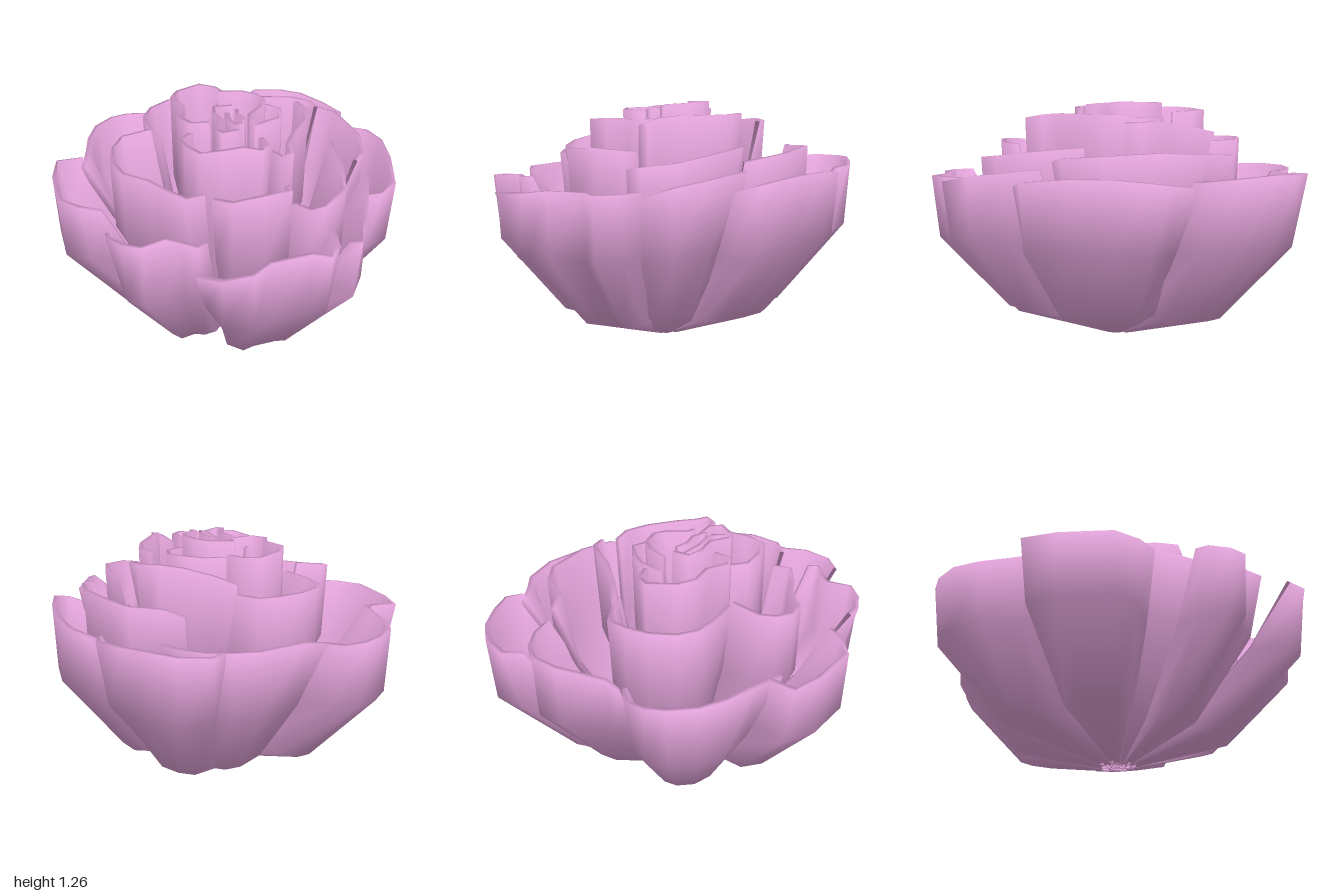
import * as THREE from 'three';

const material = new THREE.MeshStandardMaterial({ color: 0xe0a2d8 });

// Petal profile from base to rim: [height, reach at middle, reach at cupped side edges, thickness]
const PROFILE = [
  [0, 0.1, 0.07, 0.006],
  [0.17, 0.615, 0.36, 0.016],
  [0.62, 0.98, 0.77, 0.024],
  [1, 1, 1, 0.024],
];

// A thin petal hanging from its rim, given as x,z pairs; heights are those at the
// first, middle and last rim point, cup draws the side edges in below the rim
function petalGeometry(rimPairs, [h0, h1, h2], cup) {
  const n = rimPairs.length / 2;
  const rim = [];
  for (let j = 0; j < n; j++) {
    const u = (2 * j) / (n - 1) - 1;
    const h = THREE.MathUtils.lerp(h1, u < 0 ? h0 : h2, Math.abs(u));
    rim.push({ x: rimPairs[2 * j], z: rimPairs[2 * j + 1], h, edge: cup * Math.abs(u) ** 3 });
  }
  // Run every rim the same way round its own middle direction
  const ax = rim.reduce((s, p) => s + p.x, 0), az = rim.reduce((s, p) => s + p.z, 0);
  const across = (p) => p.z * ax - p.x * az;
  if (across(rim[0]) > across(rim[n - 1])) rim.reverse();

  // Outer face
  const outer = [], faces = [];
  PROFILE.forEach(([y, middle, side], i) => rim.forEach((p, j) => {
    const s = THREE.MathUtils.lerp(middle, side, p.edge);
    outer.push(p.x * s, p.h * y, p.z * s);
    if (i && j) {
      const k = i * n + j;
      faces.push(k - n - 1, k - 1, k - n, k - n, k - 1, k);
    }
  }));
  const sheet = new THREE.BufferGeometry();
  sheet.setAttribute('position', new THREE.Float32BufferAttribute(outer, 3));
  sheet.setIndex(faces);
  sheet.computeVertexNormals();
  const pos = sheet.attributes.position, nor = sheet.attributes.normal;

  // Closed loops: outer face one way, offset inner face back
  const verts = [], index = [], m = 2 * n, rows = PROFILE.length;
  const v = new THREE.Vector3(), d = new THREE.Vector3();
  for (let i = 0; i < rows; i++) {
    for (let c = 0; c < m; c++) {
      const k = i * n + (c < n ? c : m - 1 - c);
      v.fromBufferAttribute(pos, k);
      if (c >= n) v.addScaledVector(d.fromBufferAttribute(nor, k), -PROFILE[i][3]);
      verts.push(v.x, Math.max(0, v.y), v.z);
      if (i < rows - 1) {
        const p = i * m + c, q = i * m + (c + 1) % m;
        index.push(p, p + m, q, q, p + m, q + m);
      }
    }
  }
  // Rim and base strips
  const r = (rows - 1) * m;
  for (let j = 0; j < n - 1; j++) {
    const o = j, o1 = j + 1, b = m - 1 - j, b1 = m - 2 - j;
    index.push(r + o, r + b, r + o1, r + o1, r + b, r + b1);
    index.push(o, o1, b, o1, b1, b);
  }
  const g = new THREE.BufferGeometry();
  g.setAttribute('position', new THREE.Float32BufferAttribute(verts, 3));
  g.setIndex(index);
  g.computeVertexNormals();
  // Round the shading over the rim
  const normal = g.attributes.normal;
  for (let k = r; k < r + m; k++) {
    d.fromBufferAttribute(normal, k);
    d.setY(d.y + 0.8).normalize();
    normal.setXYZ(k, d.x, d.y, d.z);
  }
  return g;
}

// Rims by layer: [name, heights, x,z pairs]
const OUTER = [
  ['backLeft', [0.85, 0.88, 0.86], [-0.69, -0.45, -0.61, -0.61, -0.54, -0.77, -0.45, -0.9, -0.32, -0.98, -0.21, -1, -0.1, -0.97, -0.04, -0.87]],
  ['back', [0.87, 0.9, 0.86], [-0.04, -0.91, 0.05, -0.87, 0.32, -0.88, 0.46, -0.85, 0.55, -0.74, 0.61, -0.58, 0.62, -0.45]],
  ['backRight', [0.91, 0.93, 0.9], [0.5, -0.85, 0.6, -0.9, 0.74, -0.82, 0.82, -0.7, 0.88, -0.53, 0.91, -0.37, 0.86, -0.29]],
  ['right', [0.87, 0.93, 0.84], [0.84, -0.33, 0.88, -0.2, 0.92, -0.1, 0.9, 0.08, 0.82, 0.29, 0.7, 0.52, 0.6, 0.55, 0.53, 0.49]],
  ['frontRight', [0.94, 0.89, 0.82], [0.6, 0.42, 0.48, 0.6, 0.36, 0.78, 0.25, 0.92, 0.22, 0.84]],
  ['front', [0.83, 0.87, 0.86], [-0.58, 0.82, -0.5, 0.92, -0.35, 0.955, -0.24, 0.91, -0.03, 0.93, 0.04, 0.99, 0.13, 0.91, 0.19, 0.77]],
  ['frontLeft', [0.85, 0.89, 0.9], [-0.82, 0.28, -0.84, 0.34, -0.81, 0.46, -0.74, 0.55, -0.61, 0.54, -0.56, 0.61, -0.51, 0.69, -0.45, 0.67]],
  ['left', [0.87, 0.86, 0.86], [-0.65, -0.54, -0.79, -0.57, -0.87, -0.4, -0.925, -0.13, -0.86, 0, -0.77, 0.09]],
];
const MIDDLE = [
  ['back', [1.04, 1.06, 1.05], [-0.33, -0.21, -0.32, -0.4, -0.29, -0.53, -0.21, -0.62, -0.08, -0.67, 0.05, -0.66, 0.16, -0.62, 0.2, -0.51, 0.24, -0.37]],
  ['left', [1.09, 1.0, 1.0], [-0.35, -0.27, -0.5, -0.3, -0.58, -0.24, -0.635, -0.13, -0.625, 0, -0.54, 0.13, -0.5, 0.26, -0.44, 0.4, -0.34, 0.4]],
  ['right', [1.0, 1.03, 0.98], [0.53, -0.54, 0.56, -0.4, 0.69, -0.29, 0.735, -0.16, 0.715, 0.13, 0.63, 0.32, 0.56, 0.36]],
  ['backRight', [1.1, 1.17, 1.16], [0.2, -0.5, 0.26, -0.38, 0.36, -0.25, 0.45, -0.17, 0.52, -0.08, 0.52, 0]],
  ['frontRight', [0.95, 0.98, 1.04], [0.05, 0.58, 0.08, 0.7, 0.16, 0.72, 0.32, 0.64, 0.42, 0.45, 0.5, 0.2]],
  ['front', [1.03, 1.05, 1.03], [-0.355, 0.51, -0.29, 0.6, -0.13, 0.625, 0.03, 0.615, 0.06, 0.53]],
];
const INNER = [
  ['back', [1.2, 1.22, 1.2], [-0.14, 0.03, -0.24, 0, -0.27, -0.1, -0.2, -0.2, -0.2, -0.34, -0.13, -0.42, 0.03, -0.47, 0.1, -0.4, 0.12, -0.29]],
  ['right', [1.17, 1.18, 1.17], [0.04, -0.25, 0.19, -0.2, 0.26, -0.13, 0.315, -0.03, 0.25, 0.08, 0.08, 0.11]],
  ['left', [1.15, 1.18, 1.18], [-0.18, -0.05, -0.32, 0.05, -0.34, 0.16, -0.32, 0.29, -0.21, 0.33, -0.1, 0.34, -0.03, 0.41, 0.04, 0.37, 0.05, 0.26]],
  ['front', [1.2, 1.2, 1.14], [0.41, -0.03, 0.41, 0.09, 0.34, 0.2, 0.21, 0.32, 0.13, 0.4, 0.1, 0.49, 0.04, 0.47, 0.04, 0.34]],
];
const HEART = [
  ['tall', [1.25, 1.26, 1.24], [0.04, -0.24, 0.15, -0.18, 0.2, -0.1, 0.2, 0, 0.16, 0.06, 0.06, 0.12, 0.05, 0.17]],
  ['outer', [1.22, 1.23, 1.21], [0.05, -0.1, -0.05, -0.12, -0.1, -0.03, -0.1, 0.08, -0.17, 0.16, -0.16, 0.22, -0.08, 0.21, -0.04, 0.2]],
  ['inner', [1.22, 1.23, 1.2], [0.06, -0.03, 0.03, 0.03, 0.03, 0.11, -0.02, 0.18, -0.06, 0.15, -0.05, 0.05, -0.01, -0.06]],
];
const LAYERS = [
  ['outerPetals', OUTER, 1],
  ['middlePetals', MIDDLE, 0.7],
  ['innerPetals', INNER, 0.15],
  ['heartPetals', HEART, 0],
];

export function createModel() {
  const flower = new THREE.Group();
  flower.name = 'flower';
  for (const [layer, petals, cup] of LAYERS) {
    const group = new THREE.Group();
    group.name = layer;
    for (const [name, heights, rim] of petals) {
      const mesh = new THREE.Mesh(petalGeometry(rim, heights, cup), material);
      mesh.name = name + 'Petal';
      group.add(mesh);
    }
    flower.add(group);
  }
  return flower;
}
